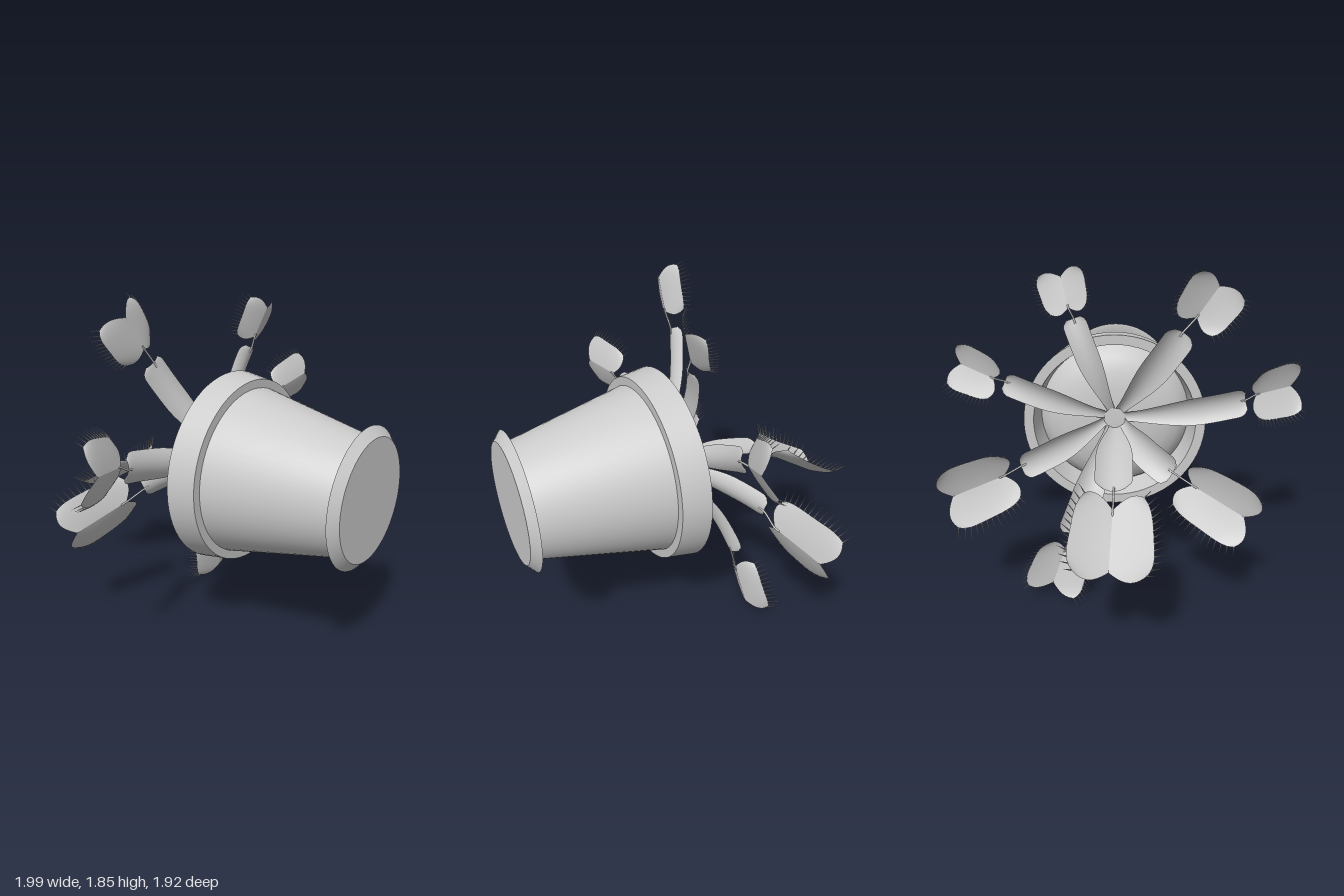
import * as THREE from 'three';
import { mergeGeometries, toCreasedNormals } from 'three/addons/utils/BufferGeometryUtils.js';
import { ParametricGeometry } from 'three/addons/geometries/ParametricGeometry.js';

const V = (x, y, z) => new THREE.Vector3(x, y, z);
const solid = new THREE.MeshStandardMaterial({ color: 0xcccccc });
const thin = new THREE.MeshStandardMaterial({ color: 0xcccccc, side: THREE.DoubleSide });
const CENTRE = V(0.068, 0.97, 0.135);

function mesh(name, geometry, material) {
  const m = new THREE.Mesh(geometry, material);
  m.name = name;
  return m;
}

// Turned part whose axis lies along z; profile is [radius, z] from base to mouth
function turned(name, profile, crease) {
  const pts = profile.map(([r, z]) => new THREE.Vector2(r, -z));
  const geo = new THREE.LatheGeometry(pts, 64).rotateX(-Math.PI / 2);
  const m = mesh(name, toCreasedNormals(geo, crease), solid);
  m.position.set(0.068, 0.945, 0);
  return m;
}

// Side and inward-facing directions for a given heading
function frame(dir) {
  const t = dir.clone().normalize();
  const side = t.clone().cross(V(0, 0, -1)).normalize();
  return { t, side, up: side.clone().cross(t).normalize() };
}

// Channel-shaped leaf blade along a bowed path
function petiole(start, tip, halfWidth, arch) {
  const f = frame(tip.clone().sub(start));
  const mid = start.clone().lerp(tip, 0.5).addScaledVector(f.up, arch);
  const path = new THREE.QuadraticBezierCurve3(start, mid, tip);
  const geo = new ParametricGeometry((a, b, out) => {
    const s = a * 2 - 1;
    const tan = path.getTangent(b);
    const up = f.side.clone().cross(tan).normalize();
    const end = b > 0.92 ? Math.sqrt(Math.max(0, 1 - ((b - 0.92) / 0.085) ** 2)) : 1;
    const w = halfWidth * (0.3 + 0.7 * THREE.MathUtils.smoothstep(b, -0.1, 0.65)) * (0.4 + 0.6 * end);
    out.copy(path.getPoint(b)).addScaledVector(f.side, s * w).addScaledVector(up, w * 0.4 * s * s);
  }, 10, 32);
  return { geo, tangent: path.getTangent(1) };
}

// Open trap: two cupped lobes on a hinge, fringed with spines
function trap(base, tip, halfWidth) {
  const group = new THREE.Group();
  group.name = 'trap';
  const f = frame(tip.clone().sub(base));
  const centre = base.clone().lerp(tip, 0.5);
  const half = base.distanceTo(tip) / 2;

  const lobePoint = (u, v, sign) => {
    const along = half * v * (1 + 0.42 * Math.sin(Math.PI * 0.7 * u) - 0.12 * u * u);
    const across = halfWidth * u * (1 - 0.2 * v ** 4) * (1 + 0.08 * v);
    const lift = halfWidth * (0.24 * u + 0.12 * u * u + 0.06 * v * v * u);
    return centre.clone().addScaledVector(f.t, along)
      .addScaledVector(f.side, sign * across).addScaledVector(f.up, lift);
  };

  const spines = [];
  for (const sign of [-1, 1]) {
    const geo = new ParametricGeometry(
      (a, b, out) => out.copy(lobePoint(a, b * 2 - 1, sign)), 12, 18);
    group.add(mesh(sign < 0 ? 'rightLobe' : 'leftLobe', geo, thin));

    const count = 13;
    for (let i = 0; i < count; i++) {
      const v = -1 + (2 * i) / (count - 1);
      const length = halfWidth * (0.45 - 0.12 * v * v);
      const dir = f.up.clone().multiplyScalar(0.85).addScaledVector(f.side, 0.55 * sign)
        .addScaledVector(f.t, 0.35 * v).normalize();
      const cone = new THREE.ConeGeometry(halfWidth * 0.02, length, 5).translate(0, length / 2, 0);
      cone.applyQuaternion(new THREE.Quaternion().setFromUnitVectors(V(0, 1, 0), dir));
      const p = lobePoint(1, v, sign);
      spines.push(cone.translate(p.x, p.y, p.z));
    }
  }
  group.add(mesh('spines', mergeGeometries(spines), solid));
  return group;
}

// Leaf = blade + thin stalk + trap
function leaf(tip, hinge, hingeEnd, trapWidth, bladeWidth, arch) {
  const group = new THREE.Group();
  group.name = 'leaf';
  const out = V(tip.x - CENTRE.x, tip.y - CENTRE.y, 0).normalize();
  const start = CENTRE.clone().addScaledVector(out, 0.06);
  const blade = petiole(start, tip, bladeWidth / 2, arch);
  group.add(mesh('blade', blade.geo, thin));

  const stalk = new THREE.CatmullRomCurve3([
    tip.clone().addScaledVector(blade.tangent, -0.03), tip, hinge, hinge.clone().lerp(hingeEnd, 0.1),
  ]);
  group.add(mesh('stalk', new THREE.TubeGeometry(stalk, 12, 0.005, 8), solid));
  group.add(trap(hinge, hingeEnd, trapWidth / 2));
  return group;
}

export function createModel() {
  const model = new THREE.Group();
  model.name = 'pottedPlant';

  // Pot lying on its side, mouth towards the back
  model.add(turned('saucer', [
    [0, 0.957], [0.31, 0.957], [0.358, 0.915], [0.345, 0.913], [0.28, 0.93],
  ], 0.5));
  model.add(turned('pot', [
    [0.28, 0.94], [0.292, 0.92], [0.44, 0.268], [0.485, 0.268], [0.51, 0.12],
    [0.455, 0.12], [0.42, 0.28],
  ], 0.5));
  model.add(turned('soil', [
    [0.43, 0.27], [0.405, 0.23], [0.36, 0.19], [0.29, 0.16], [0.2, 0.143], [0.1, 0.135], [0, 0.132],
  ], 0.9));

  // Blade tip, hinge start, hinge end, trap width, blade width, bow
  const leaves = [
    [[-0.28, 1.53, -0.1], [-0.345, 1.605, -0.1], [-0.45, 1.765, -0.115], 0.29, 0.16, 0.06],
    [[0.28, 1.55, 0.1], [0.305, 1.605, 0.1], [0.345, 1.76, 0.15], 0.245, 0.13, 0.1],
    [[0.65, 1.23, 0.02], [0.71, 1.245, 0.025], [0.89, 1.31, 0.075], 0.26, 0.13, 0.08],
    [[0.56, 0.83, -0.19], [0.65, 0.78, -0.2], [0.91, 0.705, -0.29], 0.34, 0.15, 0.06],
    [[0.31, 0.4, -0.17], [0.345, 0.31, -0.18], [0.42, 0.105, -0.21], 0.31, 0.17, 0.09],
    [[-0.24, 0.81, -0.23], [-0.34, 0.755, -0.27], [-0.6, 0.63, -0.385], 0.33, 0.17, 0.1],
    [[-0.65, 1.1, 0.07], [-0.705, 1.13, 0.075], [-0.91, 1.155, 0.145], 0.3, 0.16, 0.09],
    [[0.068, 0.84, -0.49], [0.072, 0.785, -0.57], [0.09, 0.615, -0.845], 0.39, 0.19, 0.05],
  ];
  for (const [tip, hinge, end, trapWidth, bladeWidth, arch] of leaves) {
    model.add(leaf(V(...tip), V(...hinge), V(...end), trapWidth, bladeWidth, arch));
  }
  return model;
}
